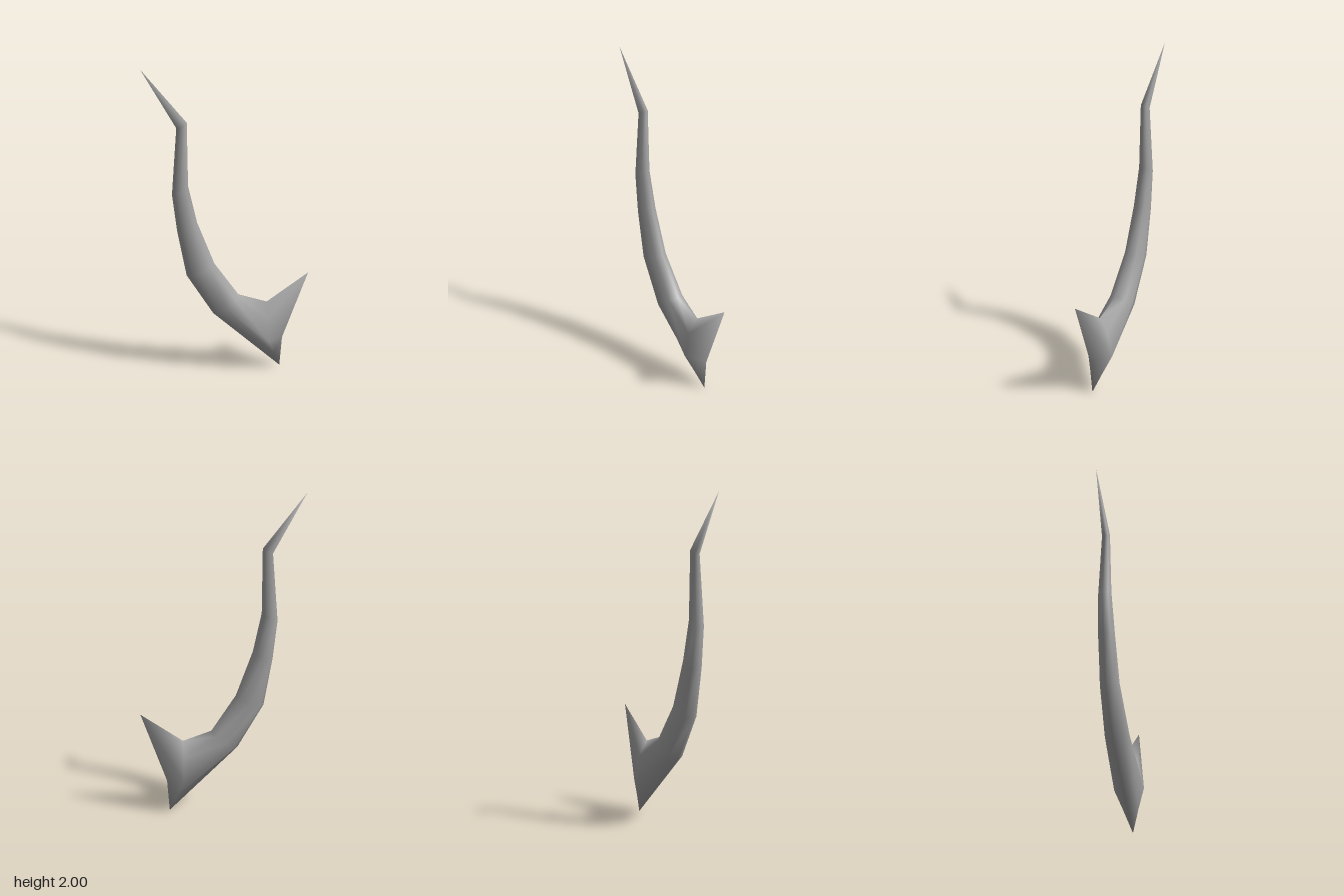
import * as THREE from 'three';

const SIDES = 8;

// Elliptical ring between an inner (+x side) and an outer point in the xy plane
function ring([ix, iy], [ox, oy], halfDepth) {
  return Array.from({ length: SIDES }, (_, k) => {
    const t = (k / SIDES) * Math.PI * 2;
    const c = Math.cos(t) / 2;
    return [
      (ix + ox) / 2 + c * (ix - ox),
      (iy + oy) / 2 + c * (iy - oy),
      Math.sin(t) * halfDepth,
    ];
  });
}

export function createModel() {
  const grey = new THREE.MeshStandardMaterial({ color: 0xa6a6a6 });
  grey.name = 'plain grey';

  // Sections of the curved shaft, from the pointed end down to the barb
  const rings = [
    ring([-0.24, 1.68], [-0.30, 1.65], 0.025),
    ring([-0.24, 1.29], [-0.335, 1.24], 0.04),
    ring([-0.19, 1.05], [-0.31, 1.0], 0.05),
    ring([-0.09, 0.77], [-0.26, 0.70], 0.058),
    ring([0.06, 0.54], [-0.10, 0.42], 0.073),
  ];

  // Barb section: valley, widest point, lower point and its mirror
  const half = [[0.235, 0.39, 0.055], [0.24, 0.24, 0.09], [0.28, 0.125, 0.045]];
  const mirrored = half.map(([x, y, z]) => [x, y, -z]).reverse();
  rings.push([[0.235, 0.48, 0], ...half, [0.325, 0, 0], ...mirrored]);

  const points = rings.flat();
  const apex = points.push([-0.49, 2, 0]) - 1;
  const barbTip = points.push([0.49, 0.67, 0]) - 1;
  const notch = points.push([0.338, 0.21, 0]) - 1;
  const index = [];
  const id = (r, k) => r * SIDES + (k % SIDES);
  const last = rings.length - 1;

  for (let k = 0; k < SIDES; k++) {
    // Pointed end
    index.push(apex, id(0, k + 1), id(0, k));
    // Shaft walls
    for (let r = 0; r < last; r++) {
      index.push(id(r, k), id(r, k + 1), id(r + 1, k + 1));
      index.push(id(r, k), id(r + 1, k + 1), id(r + 1, k));
    }
    // Barb: upper edges meet the raised tip, lower edges the notch
    index.push(id(last, k), id(last, k + 1), k < 2 || k > 5 ? barbTip : notch);
  }
  index.push(id(last, 2), notch, barbTip, id(last, 6), barbTip, notch);

  const geometry = new THREE.BufferGeometry();
  geometry.setAttribute('position', new THREE.Float32BufferAttribute(points.flat(), 3));
  geometry.setIndex(index);
  geometry.computeVertexNormals();

  const tail = new THREE.Mesh(geometry, grey);
  tail.name = 'barbedTail';
  const group = new THREE.Group();
  group.name = 'curvedTail';
  group.add(tail);
  return group;
}
